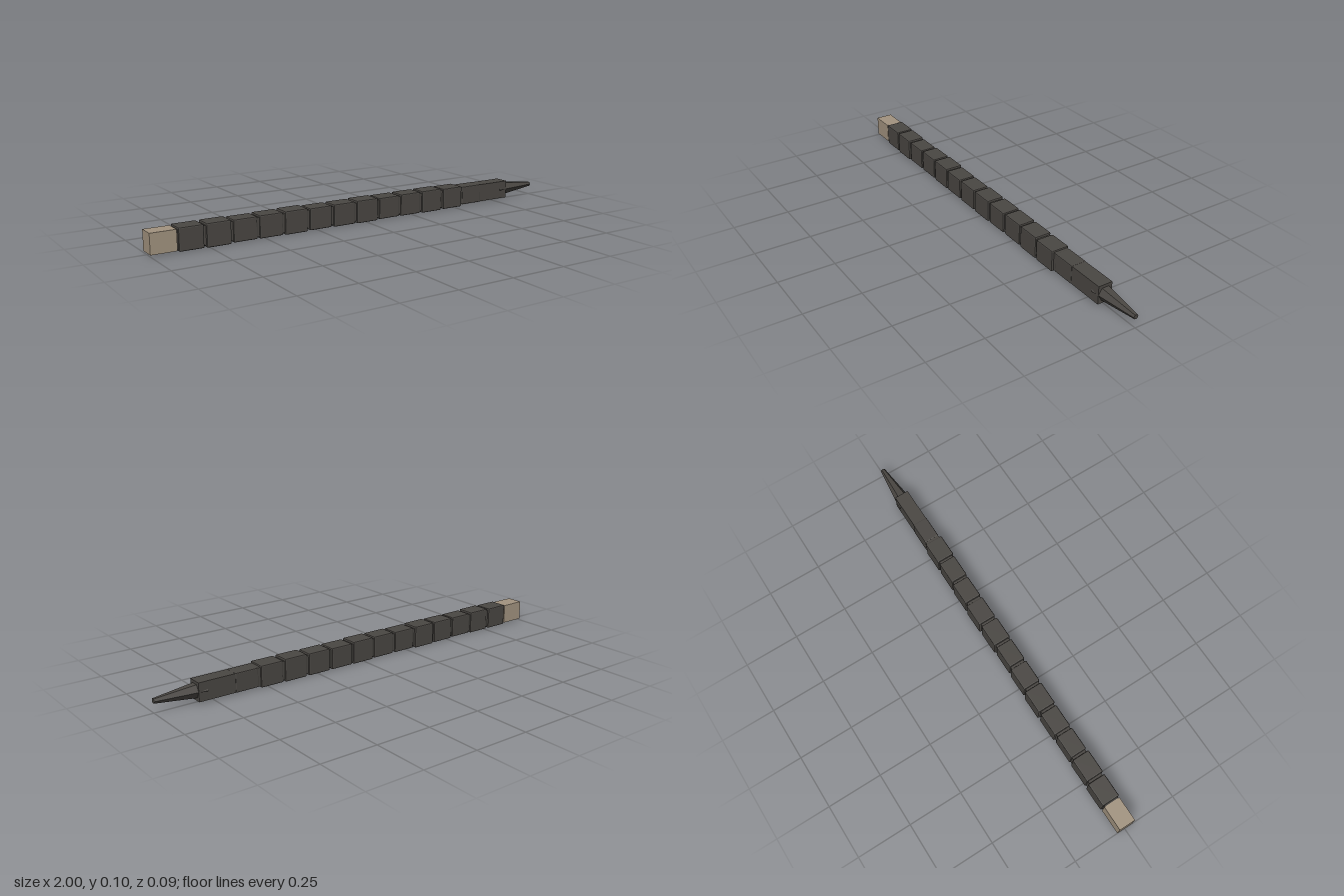
import * as THREE from 'three';
import { RoundedBoxGeometry } from 'three/addons/geometries/RoundedBoxGeometry.js';

const CY = 0.055; // height of the long axis

export function createModel() {
  const group = new THREE.Group();
  const dark = new THREE.MeshStandardMaterial({ color: 0x4a4743, flatShading: true });
  const tan = new THREE.MeshStandardMaterial({ color: 0xa39480, flatShading: true });

  const add = (name, geometry, material, x, y = CY, z = 0) => {
    const mesh = new THREE.Mesh(geometry, material);
    mesh.name = name;
    mesh.position.set(x, y, z);
    group.add(mesh);
    return mesh;
  };
  // Box with one flat chamfer along each edge
  const chamferBox = (w, h, d, r) => new RoundedBoxGeometry(w, h, d, 1, r);

  // Butt cap
  add('endCap', new THREE.BoxGeometry(0.112, 0.089, 0.076), tan, -0.944);

  // Core bar joining the grip blocks and reaching the nozzle
  add('core', new THREE.BoxGeometry(1.72, 0.082, 0.066), dark, -0.04);

  // Row of slightly uneven grip blocks
  const pitch = 0.119;
  for (let i = 0; i < 12; i++) {
    const h = 0.099 + 0.003 * Math.sin(i * 2.1);
    const d = 0.08 + 0.003 * Math.sin(i * 1.7 + 1);
    const z = 0.002 * Math.sin(i * 1.3);
    add(`block${i + 1}`, chamferBox(0.108, h, d, 0.005), dark, -0.828 + i * pitch, CY, z);
  }

  // Smaller last block and collar
  add('lastBlock', chamferBox(0.108, 0.085, 0.07, 0.004), dark, -0.828 + 12 * pitch);
  add('collar', new THREE.BoxGeometry(0.16, 0.08, 0.064), dark, 0.74);

  // Hexagonal tapered tip with corners pointing to the sides
  const tip = new THREE.CylinderGeometry(0.011, 0.037, 0.22, 6);
  tip.rotateZ(-Math.PI / 2);
  add('tip', tip, dark, 0.89);
  return group;
}
